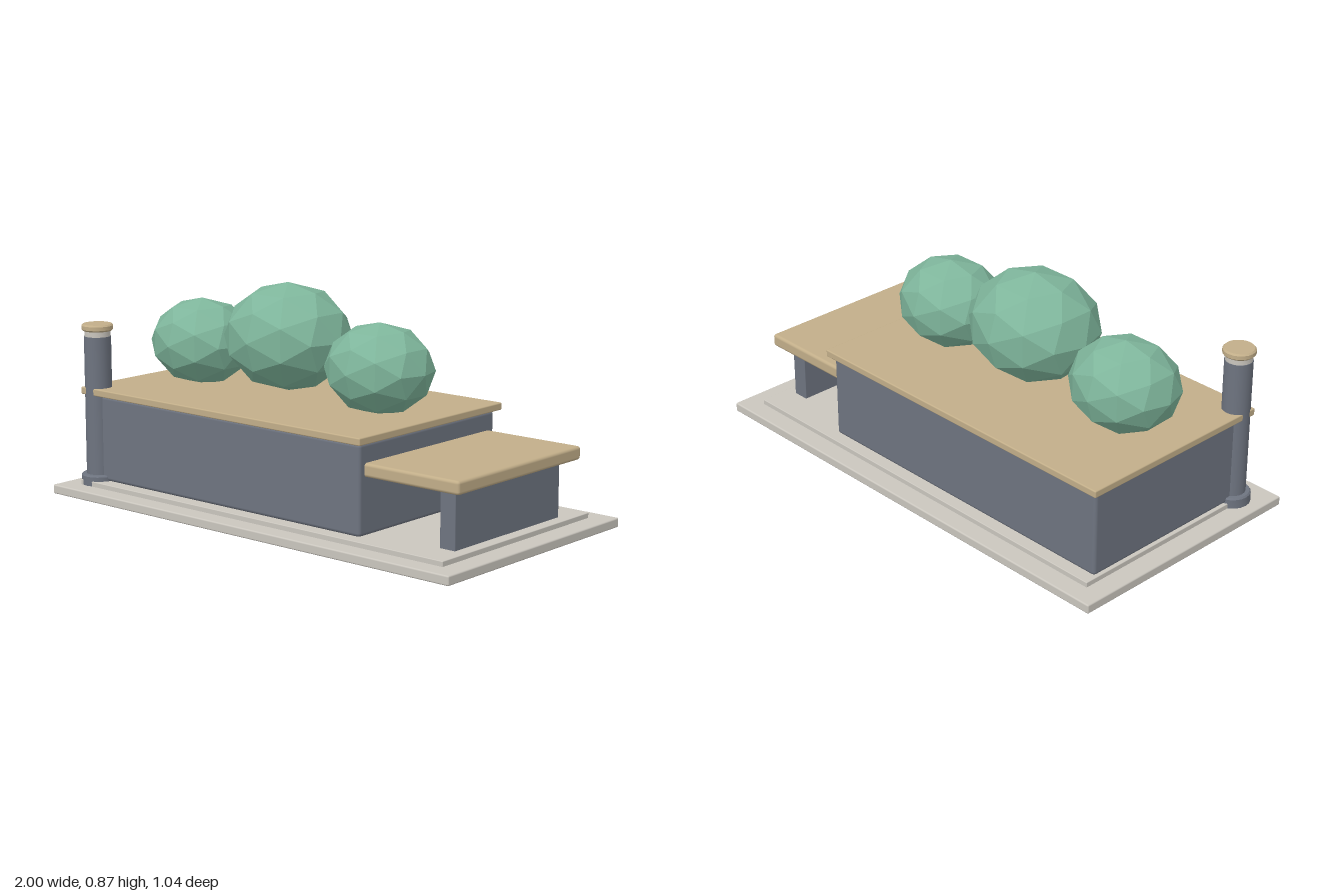
import * as THREE from 'three';
import { RoundedBoxGeometry } from 'three/addons/geometries/RoundedBoxGeometry.js';
import { toCreasedNormals } from 'three/addons/utils/BufferGeometryUtils.js';

const material = (name, color, extra = {}) => {
  const m = new THREE.MeshStandardMaterial({ color, ...extra });
  m.name = name;
  return m;
};

export function createModel() {
  const stone = material('pale stone', 0xcac6be);
  const slate = material('slate grey', 0x6e7480);
  const timber = material('light timber', 0xc2ae89);
  const leaf = material('leaf green', 0x7eb59b, { flatShading: true });

  const group = new THREE.Group();
  group.name = 'planterBench';

  const add = (name, geometry, mat, x, y, z) => {
    const mesh = new THREE.Mesh(geometry, mat);
    mesh.name = name;
    mesh.position.set(x, y, z);
    group.add(mesh);
    return mesh;
  };

  // Rounded box given by its x range, y range and half depth
  const block = (name, mat, x0, x1, y0, y1, halfZ, radius) =>
    add(name, new RoundedBoxGeometry(x1 - x0, y1 - y0, halfZ * 2, 2, radius),
      mat, (x0 + x1) / 2, (y0 + y1) / 2, 0);

  // Stepped paving
  block('baseSlab', stone, -1, 1, 0, 0.037, 0.522, 0.006);
  block('upperSlab', stone, -0.918, 0.915, 0.034, 0.057, 0.445, 0.003);

  // Planter body and its overhanging top
  block('planterBody', slate, -0.91, 0.5, 0.057, 0.401, 0.4, 0.014);
  block('planterTop', timber, -0.93, 0.52, 0.401, 0.43, 0.424, 0.005);

  // Low bench at the end, carried by one panel leg
  block('benchSeat', timber, 0.48, 0.924, 0.276, 0.328, 0.372, 0.012);
  block('benchLeg', slate, 0.8, 0.868, 0.04, 0.28, 0.315, 0.003);

  // Corner post: turned pieces, each with [radius, height] profile
  const turned = (name, mat, profile) => {
    const points = profile.map(([r, y]) => new THREE.Vector2(r, y));
    add(name, toCreasedNormals(new THREE.LatheGeometry(points, 20), 0.6), mat, -0.88, 0, 0.375);
  };
  turned('postFoot', slate, [[0, 0.037], [0.074, 0.037], [0.074, 0.074], [0.069, 0.08], [0, 0.08]]);
  turned('postShaft', slate, [[0, 0.07], [0.054, 0.07], [0.054, 0.635], [0, 0.635]]);
  turned('postCollar', stone, [[0, 0.634], [0.052, 0.634], [0.052, 0.66], [0, 0.66]]);
  turned('postCap', timber, [[0, 0.657], [0.057, 0.657], [0.063, 0.663], [0.063, 0.678], [0.057, 0.684], [0, 0.684]]);

  // Faceted shrubs: [name, x, y, radius]
  for (const [name, x, y, r] of [
    ['leftShrub', 0.26, 0.59, 0.22],
    ['middleShrub', -0.2, 0.661, 0.266],
    ['rightShrub', -0.665, 0.59, 0.22],
  ]) {
    add(name, new THREE.IcosahedronGeometry(r, 1), leaf, x, y, 0).scale.set(1, 0.8, 0.9);
  }

  return group;
}
